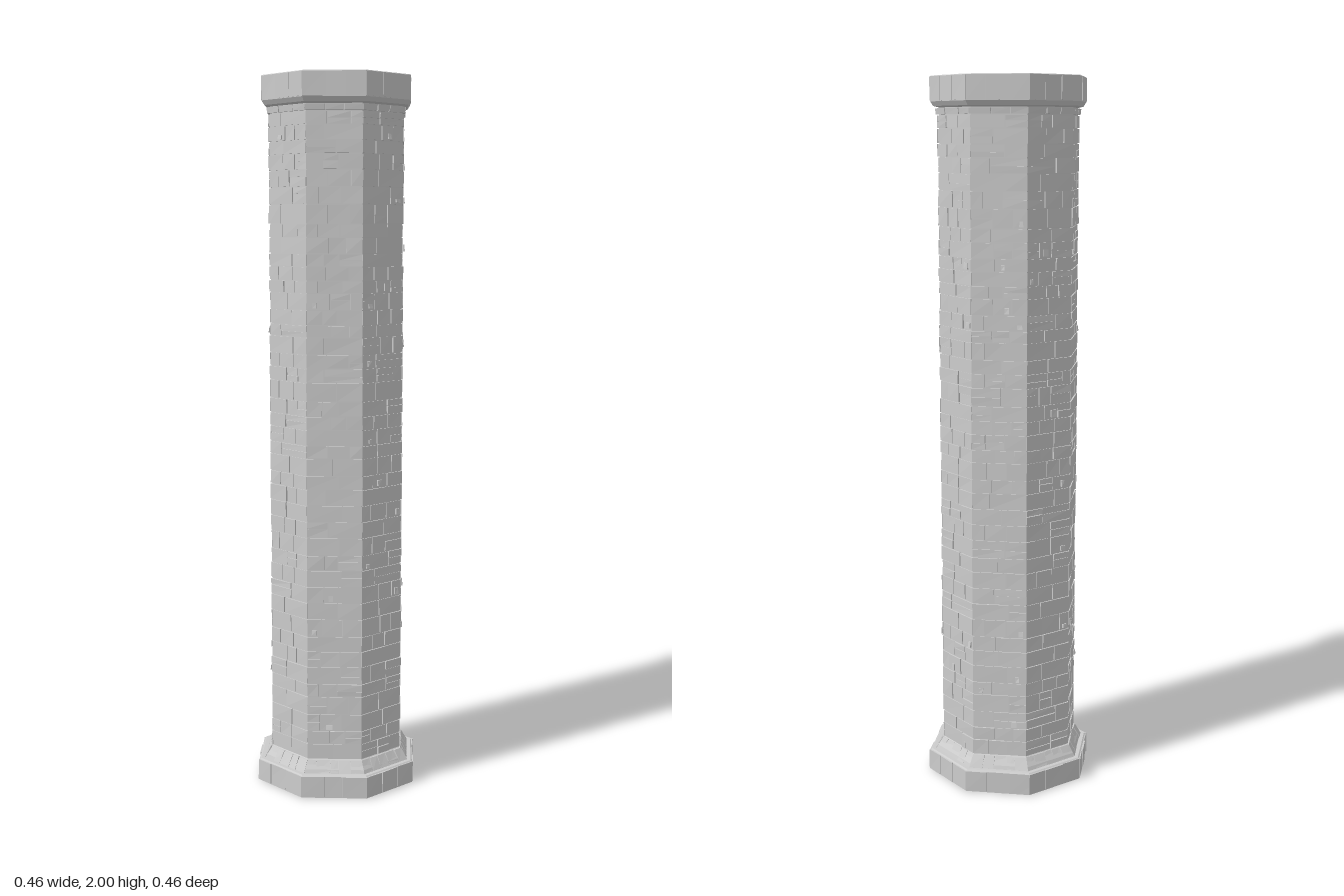
import * as THREE from 'three';
import { mergeGeometries } from 'three/addons/utils/BufferGeometryUtils.js';

const SIDES = 8;
const STEP = (Math.PI * 2) / SIDES;
const TURN = THREE.MathUtils.degToRad(19); // the octagon is twisted off the axes

// small seeded generator
function seeded(seed) {
  return () => {
    seed = (seed * 1664525 + 1013904223) % 4294967296;
    return seed / 4294967296;
  };
}

export function createModel() {
  const rand = seeded(7);
  const vary = (a, b) => a + (b - a) * rand();
  const group = new THREE.Group();
  const material = new THREE.MeshStandardMaterial({ color: 0xcccccc, flatShading: true });

  const add = (name, geometry) => {
    const mesh = new THREE.Mesh(geometry, material);
    mesh.name = name;
    group.add(mesh);
  };

  // eight-sided turned solid from [radius, height] pairs
  const octagon = (name, profile) => add(name, new THREE.LatheGeometry(
    profile.map(([r, y]) => new THREE.Vector2(r, y)), SIDES, Math.PI / 2 - TURN));

  // a block on one side: u runs 0..1 between the corners, so end blocks are mitred
  function block(side, u0, u1, y0, y1, rLow, rHigh, rough) {
    const geometry = new THREE.BoxGeometry(1, 1, 1);
    const p = geometry.attributes.position;
    const a = TURN + side * STEP;
    const inner = Math.min(rLow, rHigh) - 0.018;
    const jitter = [0, 1, 2, 3].map(() => vary(-rough, rough));
    for (let i = 0; i < p.count; i++) {
      const right = p.getX(i) > 0, top = p.getY(i) > 0, out = p.getZ(i) > 0;
      const u = right ? u1 : u0;
      const r = out ? (top ? rHigh : rLow) + jitter[(right ? 1 : 0) + (top ? 2 : 0)] : inner;
      p.setXYZ(i,
        r * THREE.MathUtils.lerp(Math.cos(a + STEP), Math.cos(a), u),
        top ? y1 : y0,
        r * THREE.MathUtils.lerp(Math.sin(a + STEP), Math.sin(a), u));
    }
    return geometry;
  }

  // split one side into uneven pieces, returned as break points from 0 to 1
  function breaks(count, shift) {
    const list = [0];
    for (let i = 1; i < count; i++) list.push((i + shift + vary(-0.18, 0.18)) / count);
    return [...list, 1];
  }

  // ring of blocks all the way round at one height
  function ring(name, count, y0, y1, rLow, rHigh, rough) {
    const parts = [];
    for (let side = 0; side < SIDES; side++) {
      const b = breaks(count, 0);
      for (let i = 0; i < count; i++) {
        const d = vary(-rough, rough);
        const g0 = i ? 0.008 : 0, g1 = i < count - 1 ? 0.008 : 0;
        parts.push(block(side, b[i] + g0, b[i + 1] - g1, y0, y1, rLow + d, rHigh + d, rough * 0.4));
      }
    }
    add(name, mergeGeometries(parts));
  }

  // solid body: plinth, shaft core and the cap with its sunken top panel
  octagon('plinthCore', [[0, 0], [0.239, 0], [0.239, 0.061], [0.234, 0.065], [0.19, 0.065]]);
  octagon('shaftCore', [[0.222, 0.064], [0.217, 0.075], [0.2, 0.096], [0.196, 0.1], [0.196, 1.93]]);
  octagon('cap', [[0.19, 1.915], [0.212, 1.92], [0.22, 1.932], [0.22, 1.998], [0.218, 2],
    [0.154, 2], [0.152, 1.986], [0, 1.986]]);

  // dressed stone bands at foot and head
  ring('plinthBlocks', 3, 0.003, 0.062, 0.241, 0.241, 0.0025);
  ring('footMoulding', 5, 0.066, 0.098, 0.222, 0.202, 0.002);
  ring('neckMoulding', 3, 1.898, 1.914, 0.204, 0.206, 0.001);
  ring('capBlocks', 3, 1.934, 1.997, 0.2215, 0.2215, 0.0015);

  // brick facing of the shaft, in uneven staggered courses
  const bricks = [];
  const chips = [];
  let y = 0.1, course = 0;
  while (y < 1.89) {
    const next = y > 1.84 ? 1.896 : y + vary(0.032, 0.052);
    for (let side = 0; side < SIDES; side++) {
      const count = 2 + Math.floor(rand() * 2);
      const b = breaks(count, ((course + side) % 2 ? 0.22 : -0.22));
      for (let i = 0; i < count; i++) {
        const u0 = b[i] + (i ? 0.01 : 0), u1 = b[i + 1] - (i < count - 1 ? 0.01 : 0);
        const bottom = y + 0.0015, top = next - 0.0015;
        const split = rand() < 0.18 ? vary(0.4, 0.6) : 0;
        const middle = bottom + (top - bottom) * split;
        const lay = (low, high) => {
          const r = vary(0.1975, 0.2015);
          bricks.push(block(side, u0, u1, low, high, r, r, 0.0008));
        };
        if (split) lay(bottom, middle - 0.001);
        lay(split ? middle + 0.001 : bottom, top);
        // occasional small stone standing proud
        if (rand() < 0.06) {
          const c = vary(u0 + 0.05, u1 - 0.12), h = vary(0.01, 0.02);
          chips.push(block(side, c, c + vary(0.06, 0.12), bottom + 0.004, bottom + 0.004 + h, 0.205, 0.203, 0.001));
        }
      }
    }
    y = next;
    course++;
  }
  add('shaftBricks', mergeGeometries(bricks));
  add('proudStones', mergeGeometries(chips));

  return group;
}
